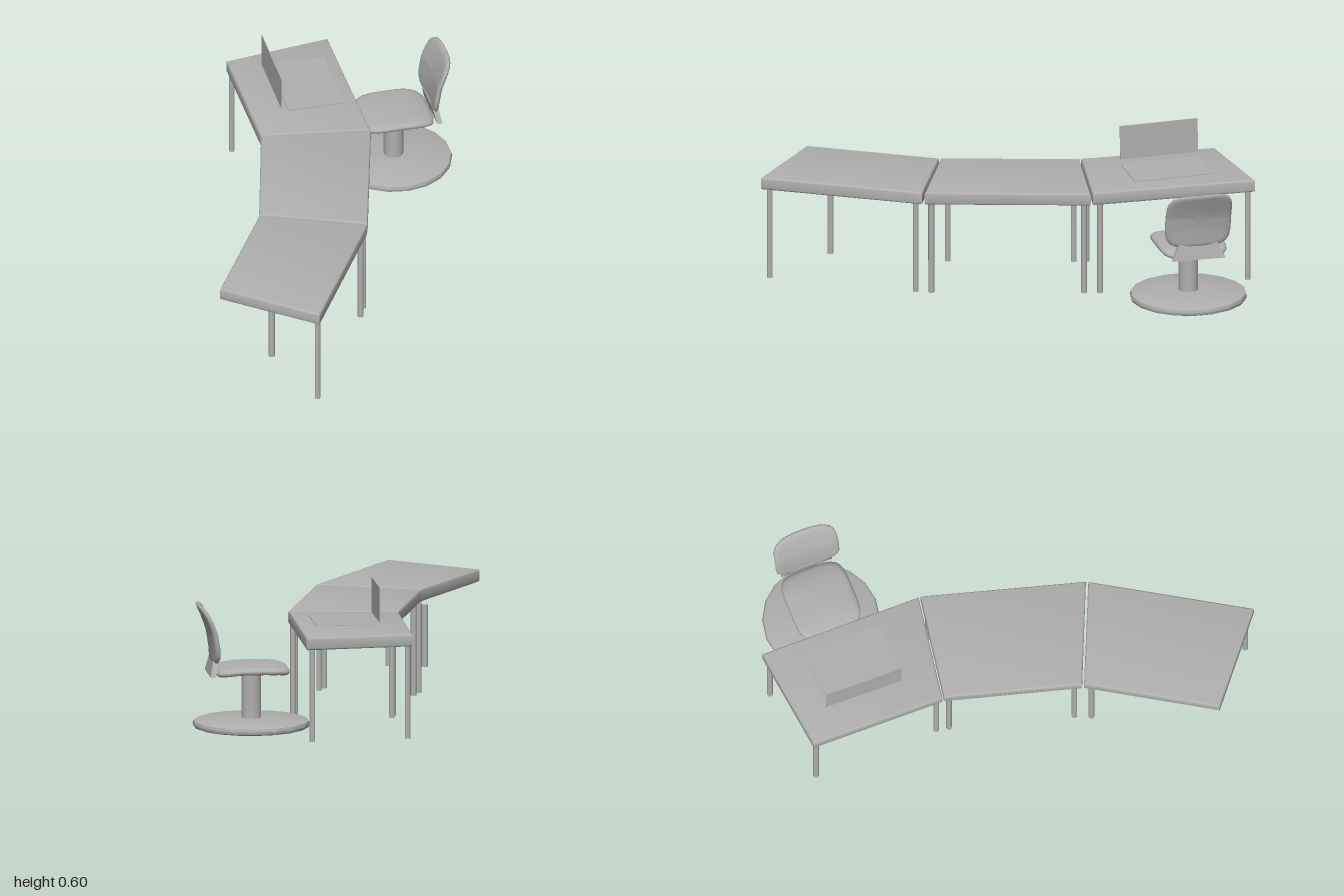
import * as THREE from 'three';
import { mergeVertices, toCreasedNormals } from 'three/addons/utils/BufferGeometryUtils.js';

const grey = new THREE.MeshStandardMaterial({ color: 0xb0b0b0 });
grey.name = 'plain grey';

function add(parent, name, geometry, x = 0, y = 0, z = 0) {
  const mesh = new THREE.Mesh(geometry, grey);
  mesh.name = name;
  mesh.position.set(x, y, z);
  parent.add(mesh);
  return mesh;
}

// Round-edged slab over a four-cornered plan of [x, z] points
function slab(corners, bottom, top, bevel) {
  const shape = new THREE.Shape(corners.map(([x, z]) => new THREE.Vector2(x, z)));
  const geo = new THREE.ExtrudeGeometry(shape, {
    depth: top - bottom - 2 * bevel, bevelThickness: bevel, bevelSize: bevel,
    bevelOffset: -bevel, bevelSegments: 3,
  });
  geo.rotateX(Math.PI / 2).translate(0, top - bevel, 0);
  return toCreasedNormals(geo, 0.6);
}

// Thin cushion with a rounded-square outline; place(a, n, b) bends it,
// a and b run -1..1 across the outline and n is the height in the thickness
function pad(thickness, place) {
  const h = thickness / 2;
  const profile = [
    [0, -h], [0.3, -h], [0.6, -h], [0.85, -h], [0.95, -h * 0.85], [1, -h * 0.3],
    [1, h * 0.3], [0.95, h * 0.85], [0.85, h], [0.6, h], [0.3, h], [0, h],
  ].map(([r, y]) => new THREE.Vector2(r, y));
  let geo = new THREE.LatheGeometry(profile, 40);
  const p = geo.attributes.position;
  for (let i = 0; i < p.count; i++) {
    const a = p.getX(i), n = p.getY(i), b = p.getZ(i);
    const r = Math.hypot(a, b) || 1;
    const k = (Math.abs(a / r) ** 4.5 + Math.abs(b / r) ** 4.5) ** (-1 / 4.5) || 1;
    const s = Number.isFinite(k) ? k : 1;
    p.setXYZ(i, ...place(a * s, n, b * s));
  }
  geo.deleteAttribute('uv');
  geo.deleteAttribute('normal');
  geo = mergeVertices(geo, 1e-5);
  geo.computeVertexNormals();
  return geo;
}

// Linear interpolation through [input, output] pairs
function ramp(points, t) {
  for (let i = 1; i < points.length; i++) {
    const [x0, y0] = points[i - 1], [x1, y1] = points[i];
    if (t <= x1 || i === points.length - 1) {
      return y0 + (y1 - y0) * THREE.MathUtils.clamp((t - x0) / (x1 - x0), 0, 1);
    }
  }
}

function buildDesk() {
  const desk = new THREE.Group();
  desk.name = 'desk';
  // Three table tops fanned in an arc
  const tops = {
    backTop: [[-0.02, -1], [-0.432, -0.842], [-0.302, -0.3], [0.142, -0.34]],
    middleTop: [[0.145, -0.332], [-0.3, -0.293], [-0.316, 0.268], [0.122, 0.34]],
    frontTop: [[0.12, 0.35], [-0.316, 0.276], [-0.483, 0.808], [-0.082, 1]],
  };
  for (const [name, corners] of Object.entries(tops)) {
    add(desk, name, slab(corners, 0.378, 0.43, 0.008));
  }
  // Legs
  const legs = [
    [-0.41, -0.83], [-0.04, -0.97], [0.12, -0.37], [-0.277, -0.322],
    [0.12, -0.305], [-0.275, -0.27], [-0.29, 0.24], [0.105, 0.312],
    [-0.302, 0.308], [0.093, 0.375], [-0.09, 0.963],
  ];
  for (const [x, z] of legs) {
    add(desk, 'leg', new THREE.CylinderGeometry(0.0115, 0.0115, 0.38, 12), x, 0.19, z);
  }
  // Short raised post under the front table
  add(desk, 'shortPost', new THREE.CylinderGeometry(0.0125, 0.0125, 0.255, 12), -0.272, 0.168, 0.715);
  return desk;
}

function buildLaptop() {
  const laptop = new THREE.Group();
  laptop.name = 'laptop';
  laptop.position.set(-0.112, 0.448, -0.645);
  laptop.rotation.y = 0.235;
  // Both plates dip slightly towards the front
  const base = add(laptop, 'laptopBase', new THREE.BoxGeometry(0.23, 0.003, 0.328));
  base.rotation.x = 0.028;
  const screen = add(laptop, 'laptopScreen', new THREE.BoxGeometry(0.003, 0.143, 0.325), -0.143, 0.081, -0.002);
  screen.rotation.x = 0.022;
  return laptop;
}

// Chair local frame: +x is towards the backrest, z is across
function buildChair() {
  const chair = new THREE.Group();
  chair.name = 'chair';
  chair.position.set(0.243, 0, -0.725);
  chair.rotation.y = 0.245;

  // Round foot plate and column
  const foot = [[0, 0.014], [0.222, 0.014], [0.234, 0.019], [0.238, 0.03], [0.234, 0.043],
    [0.222, 0.048], [0.06, 0.055], [0, 0.056]].map(([r, y]) => new THREE.Vector2(r, y));
  add(chair, 'footPlate', toCreasedNormals(new THREE.LatheGeometry(foot, 18), 0.7));
  add(chair, 'column', new THREE.CylinderGeometry(0.04, 0.04, 0.2, 18), 0, 0.15, 0);

  // Seat, rolling down at the front and at the back
  const seatLine = [[-1, 0.252], [-0.7, 0.262], [-0.3, 0.265], [0.4, 0.264], [0.75, 0.257], [1, 0.245]];
  add(chair, 'seat', pad(0.028, (a, n, b) => [a * 0.15, ramp(seatLine, a) + n - 0.006 * b * b, b * 0.138]));

  // Backrest, leaning away towards the top with slightly forward sides
  const backLine = [[-1, 0.152], [-0.5, 0.156], [0.1, 0.168], [0.6, 0.19], [1, 0.212]];
  add(chair, 'backrest', pad(0.022, (a, n, b) => [
    ramp(backLine, a) - n - 0.014 * b * b + 0.004, 0.406 + a * 0.118, b * 0.137]));

  // Flared neck joining seat and backrest
  const neck = new THREE.BoxGeometry(0.022, 0.065, 0.2, 1, 3, 1);
  const p = neck.attributes.position;
  for (let i = 0; i < p.count; i++) {
    const t = p.getY(i) / 0.065 + 0.5;
    p.setX(i, p.getX(i) + 0.166 - 0.014 * t);
    p.setZ(i, p.getZ(i) * (1.1 - 0.3 * t));
  }
  neck.computeVertexNormals();
  add(chair, 'neck', neck, 0, 0.27, 0);
  return chair;
}

export function createModel() {
  const model = new THREE.Group();
  model.name = 'curvedDeskWithChair';
  model.add(buildDesk(), buildLaptop(), buildChair());
  return model;
}
